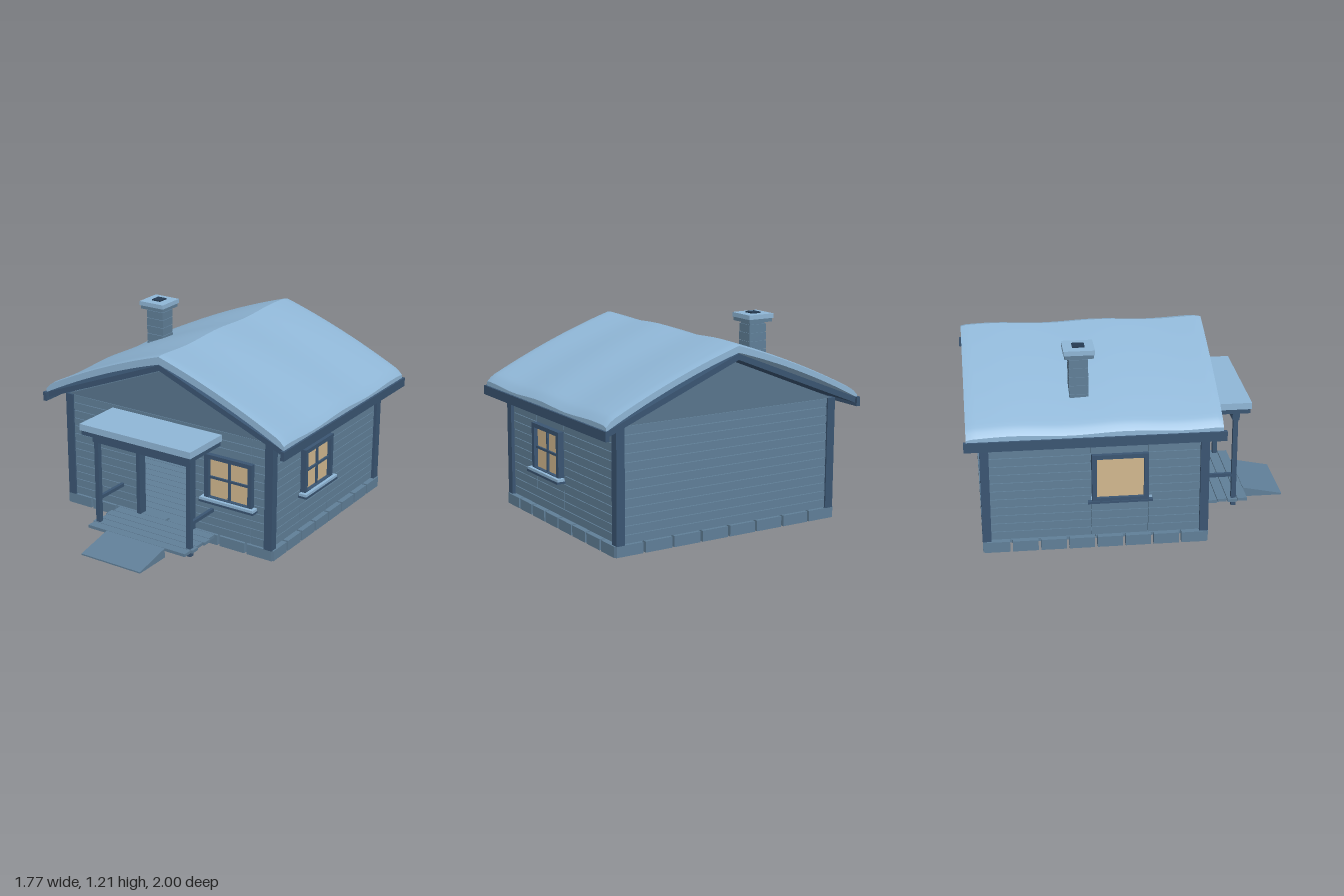
import * as THREE from 'three';

const mat = (name, color) => {
  const m = new THREE.MeshStandardMaterial({ color });
  m.name = name;
  return m;
};

export function createModel() {
  const root = new THREE.Group();
  root.name = 'cabin';
  const snow = mat('snow', 0x8fb6d6);
  const wood = mat('wood', 0x607f98);
  const gableWood = mat('gableWood', 0x58758d);
  const trim = mat('darkTrim', 0x3a5572);
  const glow = mat('windowGlow', 0xd2b88f);
  const soot = mat('soot', 0x253b52);

  const group = (name, parent = root) => {
    const g = new THREE.Group();
    g.name = name;
    parent.add(g);
    return g;
  };
  const add = (parent, name, geo, m) => {
    const mesh = new THREE.Mesh(geo, m);
    mesh.name = name;
    parent.add(mesh);
    return mesh;
  };
  // Box given by its limits on each axis
  const box = (parent, name, m, x0, x1, y0, y1, z0, z1) => {
    const mesh = add(parent, name, new THREE.BoxGeometry(x1 - x0, y1 - y0, z1 - z0), m);
    mesh.position.set((x0 + x1) / 2, (y0 + y1) / 2, (z0 + z1) / 2);
    return mesh;
  };
  const extrude = (parent, name, m, pts, z0, z1) => {
    const shape = new THREE.Shape(pts.map(p => new THREE.Vector2(p[0], p[1])));
    const geo = new THREE.ExtrudeGeometry(shape, { depth: z1 - z0, bevelEnabled: false });
    geo.translate(0, 0, z0);
    return add(parent, name, geo, m);
  };

  const W = 0.745, ZF = 0.42, ZB = -0.9, WIN_Z = -0.095, WIN_X = 0.465;

  // Foundation stones
  const stones = group('foundation');
  const sx = 1.55 / 8, sz = 1.34 / 8;
  for (let i = 0; i < 8; i++) {
    const x = -0.775 + i * sx, z = -0.91 + i * sz;
    for (const [a, b] of [[0.39, 0.43], [-0.91, -0.87]])
      box(stones, 'stone', wood, x + 0.008, x + sx - 0.008, 0, 0.066, a, b);
    for (const s of [-1, 1])
      box(stones, 'stone', wood, Math.min(s * 0.737, s * 0.775), Math.max(s * 0.737, s * 0.775),
        0, 0.066, z + 0.008, z + sz - 0.008);
  }

  // Interior floor boards
  const floor = group('floor');
  for (let i = 0; i < 18; i++) {
    const z = -0.87 + i * 0.07;
    box(floor, 'floorBoard', wood, -0.735, 0.735, 0.04, 0.06, z + 0.002, z + 0.068);
  }

  // Plank walls, split around the door and windows
  const walls = group('walls');
  const rows = 13, step = 0.68 / rows;
  for (let k = 0; k < rows; k++) {
    const y0 = 0.07 + k * step, y1 = y0 + step - 0.004;
    const atWindow = k >= 4 && k <= 9, atDoor = k < 10;
    const front = atWindow ? [[-0.72, -0.2], [0.2, 0.315], [0.615, 0.72]]
      : atDoor ? [[-0.72, -0.2], [0.2, 0.612], [0.615, 0.72]] : [[-0.72, 0.612], [0.615, 0.72]];
    for (const [a, b] of front) box(walls, 'frontPlank', wood, a, b, y0, y1, ZF - 0.03, ZF);
    box(walls, 'backPlank', wood, -0.72, 0.72, y0, y1, ZB, ZB + 0.03);
    const side = [[ZB + 0.03, -0.268], [0.073, ZF - 0.03]];
    if (!atWindow) side.push([-0.265, 0.07]);
    for (const [a, b] of side) {
      box(walls, 'leftPlank', wood, W - 0.03, W, y0, y1, a, b);
      box(walls, 'rightPlank', wood, -W, -W + 0.03, y0, y1, a, b);
    }
  }
  for (const x of [-0.738, 0.738])
    for (const z of [0.405, -0.885])
      box(walls, 'cornerPost', trim, x - 0.027, x + 0.027, 0.065, 0.75, z - 0.026, z + 0.026);

  // Gable triangles
  for (const z of [ZF - 0.03, ZB])
    extrude(root, 'gable', gableWood, [[-0.75, 0.748], [0.75, 0.748], [0, 1.05]], z, z + 0.03);

  // Windows: glowing pane, frame, glazing bars and snowy sill
  const makeWindow = (name, x, z, turn) => {
    const g = group(name);
    g.position.set(x, 0, z);
    g.rotation.y = turn;
    box(g, 'pane', glow, -0.145, 0.145, 0.31, 0.57, -0.004, 0.004);
    for (const s of [-0.153, 0.153])
      box(g, 'frameSide', trim, s - 0.014, s + 0.014, 0.3, 0.59, -0.025, 0.03);
    box(g, 'frameTop', trim, -0.167, 0.167, 0.566, 0.592, -0.025, 0.03);
    box(g, 'frameBottom', trim, -0.167, 0.167, 0.295, 0.318, -0.025, 0.03);
    box(g, 'uprightBar', trim, -0.007, 0.007, 0.31, 0.57, 0.004, 0.016);
    box(g, 'crossBar', trim, -0.14, 0.14, 0.436, 0.45, 0.004, 0.016);
    box(g, 'sill', trim, -0.192, 0.192, 0.285, 0.298, -0.03, 0.053);
    box(g, 'sillSnow', snow, -0.19, 0.19, 0.298, 0.314, 0.0, 0.05);
  };
  makeWindow('frontWindow', WIN_X, ZF, 0);
  makeWindow('leftWindow', W + 0.005, WIN_Z, Math.PI / 2);
  makeWindow('rightWindow', -W, WIN_Z, Math.PI / 2);

  // Door frame
  const door = group('doorFrame');
  for (const s of [-0.2, 0.2])
    box(door, 'doorPost', trim, s - 0.013, s + 0.013, 0.065, 0.615, 0.385, 0.445);
  box(door, 'doorHeader', trim, -0.213, 0.213, 0.592, 0.618, 0.385, 0.445);

  // Roof deck and eave boards
  extrude(root, 'roofDeck', trim, [[0, 1.1], [-0.87, 0.752], [-0.87, 0.716], [0, 1.064],
    [0.87, 0.716], [0.87, 0.752]], -0.985, 0.485);
  for (const s of [-0.8725, 0.8725])
    box(root, 'eaveBoard', trim, s - 0.0125, s + 0.0125, 0.7, 0.757, -1, 0.51);

  // Wavy snow blanket, one half for each slope
  for (const s of [-1, 1]) {
    const geo = new THREE.BoxGeometry(0.872, 1, 1.475, 32, 2, 48);
    const p = geo.attributes.position;
    for (let i = 0; i < p.count; i++) {
      const x = p.getX(i) + s * 0.436, t = p.getY(i) + 0.5, z = p.getZ(i) - 0.2475;
      const u = Math.min(1, Math.abs(x) / 0.872);
      const edge = Math.max(0, (u - 0.94) / 0.06);
      const end = Math.max(0, (Math.abs(p.getZ(i)) - 0.7) / 0.0375);
      const wave = 0.006 * Math.cos((z - 0.52) * 9.6 + s * 0.6 * u);
      const top = 1.153 - 0.355 * u + 0.09 * u * (1 - u) + wave - 0.018 * edge * edge - 0.006 * end * end;
      const bottom = 1.105 - 0.353 * u + 0.1 * u * (1 - u);
      p.setXYZ(i, x, bottom + (top - bottom) * t, z);
    }
    geo.computeVertexNormals();
    add(root, s > 0 ? 'leftRoofSnow' : 'rightRoofSnow', geo, snow);
  }

  // Chimney of stacked courses with a snowy cap
  const chimney = group('chimney');
  box(chimney, 'flue', wood, -0.63, -0.516, 0.75, 1.16, -0.37, -0.275);
  for (let k = 0; k < 7; k++) {
    const y = 0.772 + k * 0.053;
    box(chimney, 'course', wood, -0.636, -0.51, y, y + 0.048, -0.378, -0.267);
  }
  box(chimney, 'cap', wood, -0.66, -0.488, 1.153, 1.176, -0.405, -0.235);
  box(chimney, 'capSnow', snow, -0.666, -0.482, 1.176, 1.204, -0.411, -0.229);
  box(chimney, 'flueOpening', soot, -0.608, -0.543, 1.204, 1.212, -0.356, -0.284);

  // Porch
  const porch = group('porch');
  for (let i = 0; i < 5; i++) {
    const z = 0.43 + i * 0.064, over = i % 2 ? 0.012 : 0;
    box(porch, 'porchBoard', wood, -0.36 - over, 0.36 + over, 0.047, 0.066, z + 0.002, z + 0.062);
  }
  for (const s of [-0.338, 0.338]) {
    box(porch, 'porchPost', trim, s - 0.015, s + 0.015, 0.015, 0.605, 0.648, 0.678);
    box(porch, 'porchRail', trim, s - 0.01, s + 0.01, 0.212, 0.234, 0.42, 0.65);
  }
  box(porch, 'porchBeam', trim, -0.36, 0.36, 0.598, 0.642, 0.641, 0.685);
  box(porch, 'porchRoof', trim, -0.395, 0.395, 0.655, 0.685, 0.42, 0.742);
  box(porch, 'porchSnow', snow, -0.403, 0.403, 0.685, 0.726, 0.42, 0.75);

  // Entry ramp: a wedge, drawn in side profile and turned to face forward
  const ramp = extrude(porch, 'ramp', wood, [[-1, 0.005], [-0.75, 0.005], [-0.75, 0.066], [-1, 0.014]],
    -0.217, 0.217);
  ramp.rotation.y = Math.PI / 2;

  return root;
}
